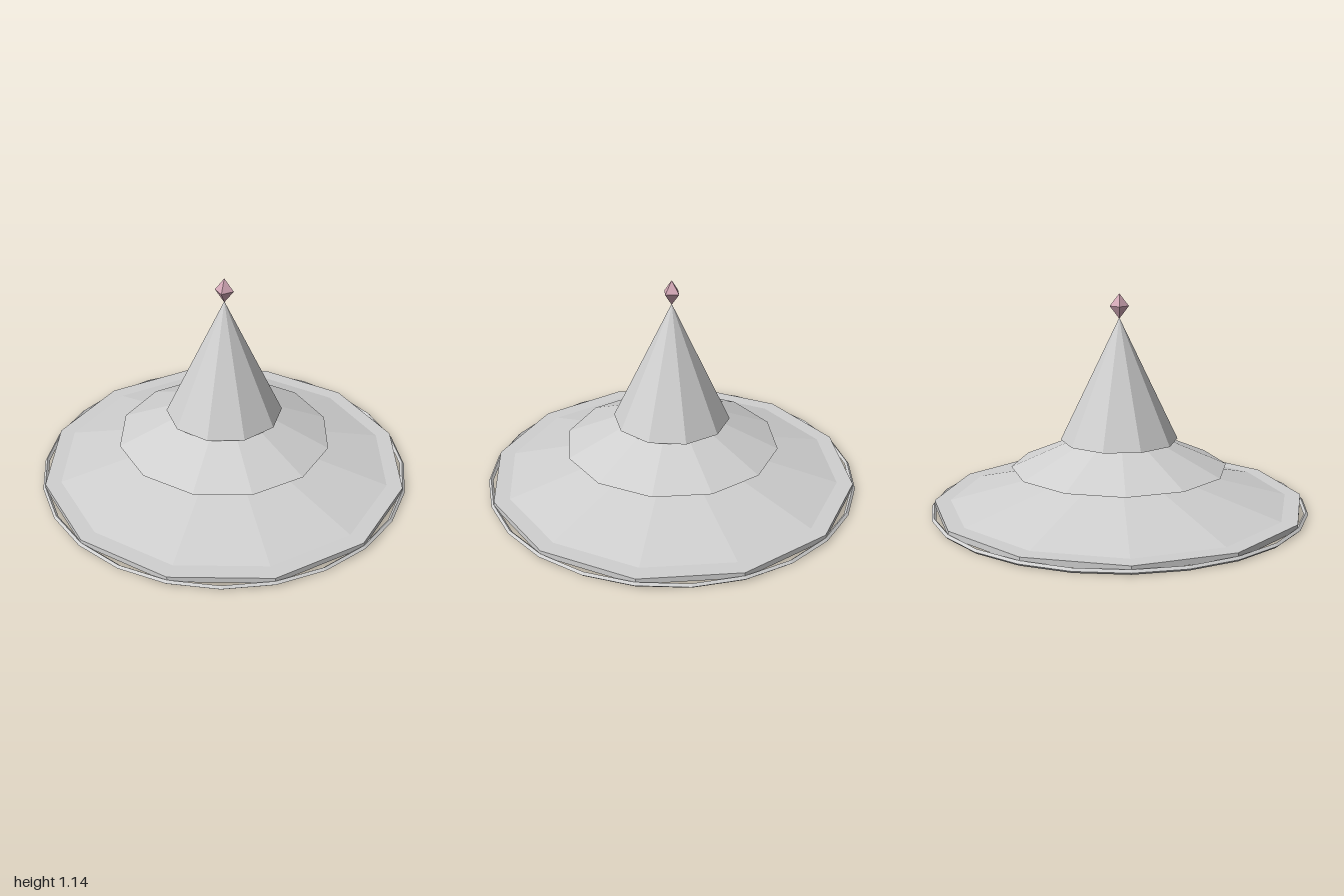
import * as THREE from 'three';

export function createModel() {
  const model = new THREE.Group();
  model.name = 'tieredConeRoof';

  const grey = new THREE.MeshStandardMaterial({ color: 0xd0d0d0, flatShading: true });
  grey.name = 'pale grey';
  const pink = new THREE.MeshStandardMaterial({ color: 0xd4a9b7, flatShading: true });
  pink.name = 'dusty pink';

  function add(name, geometry, material, y, turn) {
    const mesh = new THREE.Mesh(geometry, material);
    mesh.name = name;
    mesh.position.y = y;
    mesh.rotation.y = turn;
    model.add(mesh);
    return mesh;
  }

  // Cone standing on its base at height y0
  const addCone = (name, radius, y0, y1, sides, turn) =>
    add(name, new THREE.ConeGeometry(radius, y1 - y0, sides), grey, (y0 + y1) / 2, turn);

  // Thin base plate and the fine ring around its rim
  add('basePlate', new THREE.CylinderGeometry(0.99, 0.99, 0.03, 12), grey, 0.025, -0.1);
  const ring = new THREE.TorusGeometry(0.992, 0.012, 4, 24);
  ring.rotateX(Math.PI / 2);
  add('rimRing', ring, grey, 0.012, -0.1);

  // Three stacked cones, each rising into the one above
  addCone('lowerTier', 0.905, 0.04, 0.272, 12, -0.1);
  addCone('middleTier', 0.577, 0.22, 0.47, 12, -0.1);
  addCone('spire', 0.312, 0.365, 1.015, 10, 0.1);

  // Stretched octahedral gem on the tip
  const gem = new THREE.OctahedronGeometry(0.05);
  gem.scale(1, 1.32, 1);
  add('tipGem', gem, pink, 1.075, 0.4);

  return model;
}
